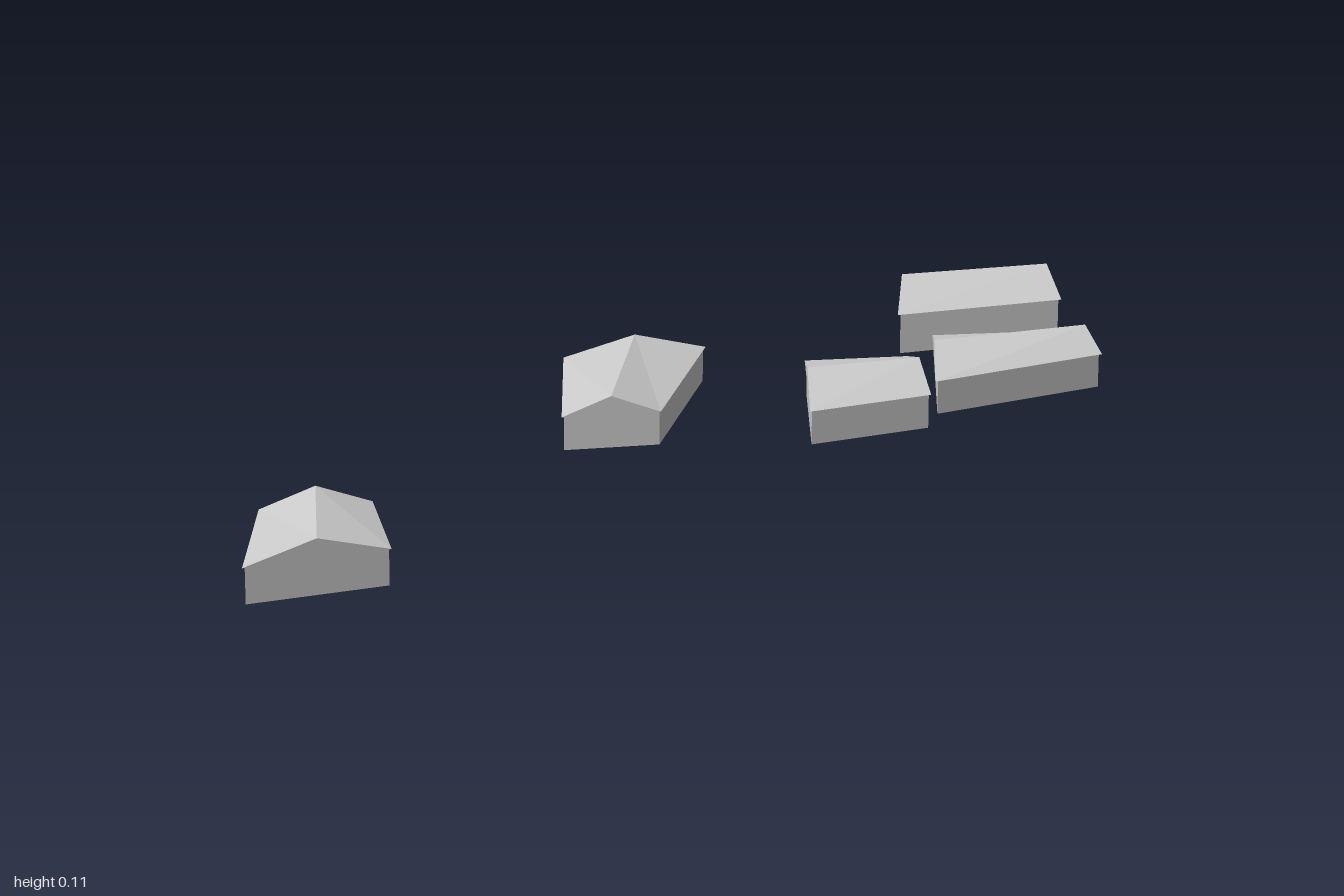
import * as THREE from 'three';

// Footprints clockwise from above as [x, z]; corners 0-1 and 2-3 are the gable ends.
const HOUSES = [
  { eave: 0.07, ridge: 0.107, plan: [[-0.145, -1.0], [0.035, -0.89], [-0.082, -0.606], [-0.262, -0.80]] },
  { eave: 0.057, ridge: 0.088, plan: [[0.145, -0.79], [0.284, -0.728], [0.214, -0.404], [0.014, -0.595]] },
  { eave: 0.057, ridge: 0.088, plan: [[0.076, -0.474], [0.262, -0.347], [0.2, -0.135], [-0.018, -0.327]] },
  { eave: 0.057, ridge: 0.088, plan: [[0.042, 0.045], [-0.039, 0.185], [-0.297, -0.035], [-0.188, -0.257]] },
  { eave: 0.057, ridge: 0.088, plan: [[0.294, 0.786], [0.22, 1.0], [0.019, 0.824], [0.1, 0.672]] },
];

// Flat-shaded geometry from convex faces, each a list of points
function facesGeometry(faces) {
  const pos = [];
  for (const f of faces)
    for (let i = 1; i < f.length - 1; i++)
      for (const p of [f[0], f[i], f[i + 1]]) pos.push(p.x, p.y, p.z);
  const g = new THREE.BufferGeometry();
  g.setAttribute('position', new THREE.Float32BufferAttribute(pos, 3));
  g.computeVertexNormals();
  return g;
}

const atHeight = (plan, y) => plan.map(([x, z]) => new THREE.Vector3(x, y, z));

// Four walls and a floor
function wallsGeometry(plan, top) {
  const lo = atHeight(plan, 0), hi = atHeight(plan, top);
  const faces = [lo];
  for (let i = 0; i < 4; i++) {
    const j = (i + 1) % 4;
    faces.push([lo[j], lo[i], hi[i], hi[j]]);
  }
  return facesGeometry(faces);
}

// Gable roof with its ridge between the middles of the two end edges
function roofGeometry(plan, eave, ridge) {
  const p = atHeight(plan, eave);
  const r0 = p[0].clone().lerp(p[1], 0.5).setY(ridge);
  const r1 = p[2].clone().lerp(p[3], 0.5).setY(ridge);
  return facesGeometry([
    p,
    [p[1], p[0], r0], [p[3], p[2], r1],
    [p[2], p[1], r0, r1], [p[0], p[3], r1, r0],
  ]);
}

export function createModel() {
  const model = new THREE.Group();
  model.name = 'houses';
  const grey = new THREE.MeshStandardMaterial({ color: 0xcccccc });
  grey.name = 'lightGrey';

  HOUSES.forEach(({ eave, ridge, plan }, i) => {
    const house = new THREE.Group();
    house.name = `house${i + 1}`;
    // Walls stand slightly inside the eaves
    const cx = plan.reduce((s, p) => s + p[0], 0) / 4;
    const cz = plan.reduce((s, p) => s + p[1], 0) / 4;
    const inset = plan.map(([x, z]) => [cx + (x - cx) * 0.965, cz + (z - cz) * 0.965]);

    const walls = new THREE.Mesh(wallsGeometry(inset, eave), grey);
    walls.name = 'walls';
    const roof = new THREE.Mesh(roofGeometry(plan, eave, ridge), grey);
    roof.name = 'roof';
    house.add(walls, roof);
    model.add(house);
  });
  return model;
}
